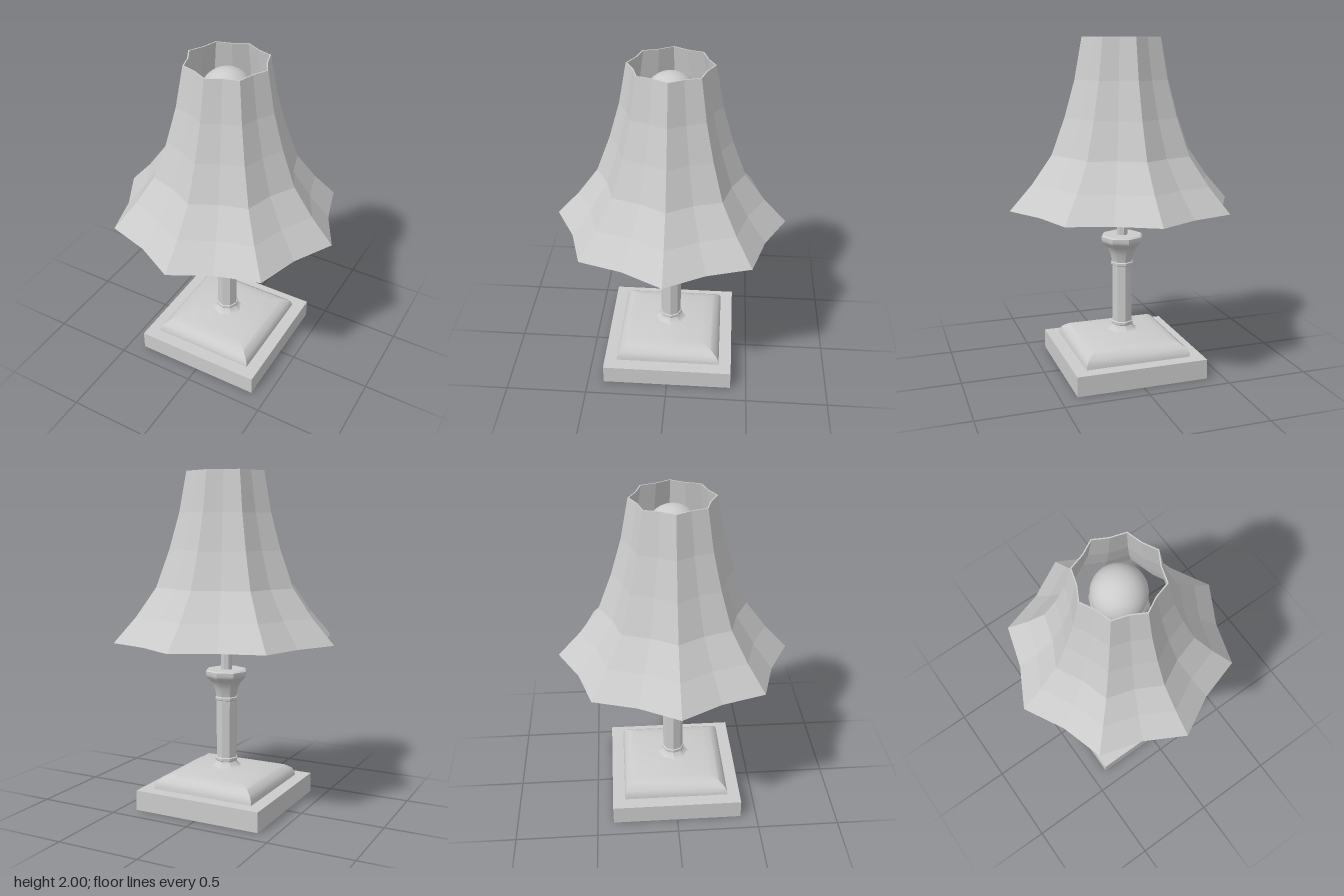
import * as THREE from 'three';
import { toCreasedNormals } from 'three/addons/utils/BufferGeometryUtils.js';

const grey = new THREE.MeshStandardMaterial({ color: 0xcccccc });
const flatGrey = new THREE.MeshStandardMaterial({ color: 0xcccccc, flatShading: true, side: THREE.DoubleSide });

const toPoints = (profile) => profile.map(([r, y]) => new THREE.Vector2(r, y));

// Faceted turned part: profile is [radius, height], from bottom to top
function turned(name, profile, sides = 8) {
  const geometry = new THREE.LatheGeometry(toPoints(profile), sides);
  const mesh = new THREE.Mesh(toCreasedNormals(geometry, 0.6), grey);
  mesh.name = name;
  return mesh;
}

// Flared shade with eight ridges and hollowed panels between them
function shade() {
  const outer = [[0.683, 1.016], [0.55, 1.164], [0.43, 1.33], [0.35, 1.545], [0.288, 1.76], [0.243, 2]];
  const inner = outer.map(([r, y]) => [r - 0.008, y]).reverse();
  const geometry = new THREE.LatheGeometry(toPoints([...outer, ...inner, outer[0]]), 16);
  const pos = geometry.attributes.position;
  const rows = outer.length * 2 + 1;
  for (let i = 0; i < pos.count; i++) {
    const dent = Math.floor(i / rows) % 2 ? 0.885 : 1;
    pos.setXYZ(i, pos.getX(i) * dent, pos.getY(i), pos.getZ(i) * dent);
  }
  const mesh = new THREE.Mesh(geometry, flatGrey);
  mesh.name = 'shade';
  return mesh;
}

export function createModel() {
  const lamp = new THREE.Group();
  lamp.name = 'tableLamp';

  // Square plinth
  const plinth = new THREE.Mesh(new THREE.BoxGeometry(0.8, 0.12, 0.8), grey);
  plinth.name = 'plinth';
  plinth.position.y = 0.06;
  lamp.add(plinth);

  // Square domed base: half-widths become corner radii
  const dome = [[0.323, 0.12], [0.32, 0.145], [0.305, 0.17], [0.27, 0.195], [0.215, 0.21], [0.08, 0.23], [0, 0.23]];
  const base = turned('domedBase', dome.map(([w, y]) => [w * Math.SQRT2, y]), 4);
  base.rotation.y = Math.PI / 4;
  lamp.add(base);

  // Octagonal column with foot, collars and flared capital
  lamp.add(turned('columnFoot', [[0.11, 0.222], [0.08, 0.235], [0.062, 0.26]]));
  lamp.add(turned('column', [[0.063, 0.25], [0.063, 0.67]]));
  for (const [name, y] of [['lowerCollar', 0.262], ['upperCollar', 0.638]]) {
    lamp.add(turned(name, [[0.06, y], [0.07, y + 0.006], [0.07, y + 0.02], [0.06, y + 0.026]]));
  }
  lamp.add(turned('capital', [
    [0.063, 0.66], [0.075, 0.715], [0.097, 0.755], [0.125, 0.785],
    [0.13, 0.798], [0.13, 0.82], [0.12, 0.828], [0, 0.828],
  ]));

  // Slim stem and bulb socket
  lamp.add(turned('stem', [[0.034, 0.82], [0.034, 1.23]]));
  lamp.add(turned('socket', [
    [0.034, 1.21], [0.104, 1.31], [0.104, 1.55], [0.163, 1.66], [0.163, 1.7], [0.14, 1.75], [0, 1.75],
  ]));

  // Round bulb
  const bulb = new THREE.Mesh(new THREE.SphereGeometry(0.152, 32, 20), grey);
  bulb.name = 'bulb';
  bulb.position.y = 1.8;
  lamp.add(bulb);

  lamp.add(shade());
  return lamp;
}
